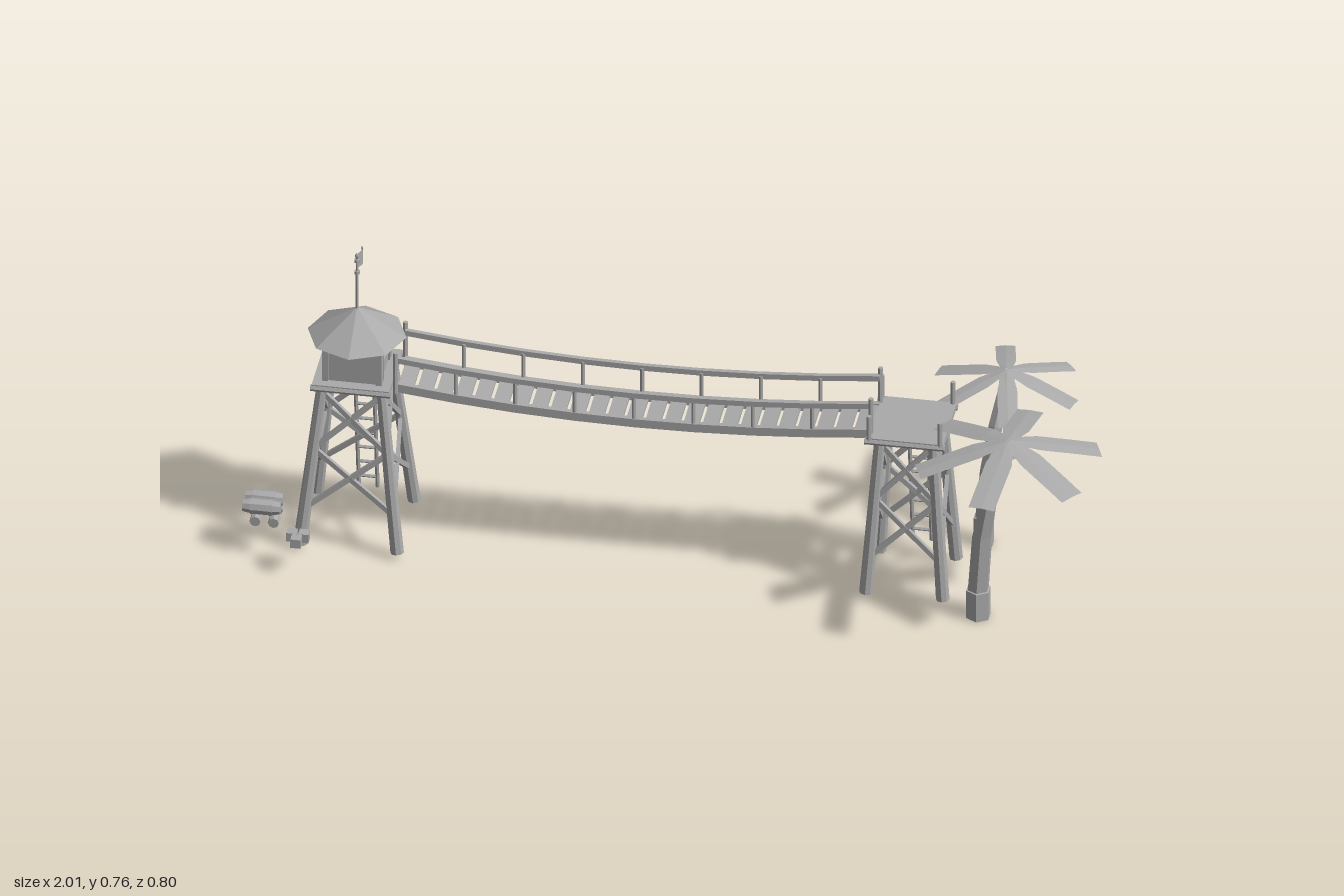
import * as THREE from 'three';

const stone = new THREE.MeshStandardMaterial({ color: 0xaaaaaa, flatShading: true, side: THREE.DoubleSide });
stone.name = 'plain grey';
const V = (x, y, z) => new THREE.Vector3(x, y, z);
const CZ = 0.035; // z of the bridge axis

function add(parent, name, geo, x = 0, y = 0, z = 0) {
  const m = new THREE.Mesh(geo, stone);
  m.name = name;
  m.position.set(x, y, z);
  parent.add(m);
  return m;
}
const box = (p, name, w, h, d, x, y, z) => add(p, name, new THREE.BoxGeometry(w, h, d), x, y, z);

// Straight pole between two points
function pole(p, name, a, b, r, sides = 6, r2 = r) {
  const m = add(p, name, new THREE.CylinderGeometry(r2, r, a.distanceTo(b), sides));
  m.position.copy(a).add(b).multiplyScalar(0.5);
  m.quaternion.setFromUnitVectors(V(0, 1, 0), b.clone().sub(a).normalize());
}

// Rectangular plank whose length runs from a to b
function plank(p, name, a, b, h, w) {
  const m = box(p, name, w, h, a.distanceTo(b), 0, 0, 0);
  m.position.copy(a).add(b).multiplyScalar(0.5);
  m.quaternion.setFromRotationMatrix(new THREE.Matrix4().lookAt(b, a, V(0, 1, 0)));
}

// Four splayed legs, two tiers of cross braces, platform and ladder
function tower(name, cx, low, high) {
  const g = new THREE.Group();
  g.name = name;
  g.position.set(cx, 0, CZ);
  const at = (sx, sz, y) => {
    const h = low + (high - low) * (y - 0.015) / 0.41;
    return V(sx * h, y, sz * h);
  };
  const corners = [[1, 1], [1, -1], [-1, -1], [-1, 1]];
  corners.forEach(([sx, sz], i) => {
    pole(g, 'leg', at(sx, sz, 0.015), at(sx, sz, 0.43), 0.016, 8, 0.013);
    const [nx, nz] = corners[(i + 1) % 4];
    for (const [y0, y1] of [[0.11, 0.265], [0.265, 0.415]]) {
      plank(g, 'crossBrace', at(sx, sz, y0), at(nx, nz, y1), 0.012, 0.009);
      plank(g, 'crossBrace', at(nx, nz, y0), at(sx, sz, y1), 0.012, 0.009);
    }
  });
  box(g, 'platform', 0.182, 0.014, 0.182, 0, 0.434, 0);
  for (const s of [-1, 1]) {
    pole(g, 'platformBeam', V(-0.094, 0.431, s * 0.088), V(0.094, 0.431, s * 0.088), 0.008, 6);
    pole(g, 'ladderRail', V(s * 0.022, 0.015, -0.152), V(s * 0.022, 0.43, -0.09), 0.005, 5);
  }
  for (let i = 0; i < 9; i++) {
    const y = 0.045 + i * 0.044, z = -0.152 + 0.062 * (y - 0.015) / 0.415;
    pole(g, 'ladderRung', V(-0.024, y, z), V(0.024, y, z), 0.004, 5);
  }
  return g;
}

// Cabin, roof, mast and flag for the lookout tower
function lookout(g) {
  box(g, 'cabin', 0.13, 0.1, 0.13, 0, 0.49, 0);
  for (const sx of [-1, 1]) for (const sz of [-1, 1])
    box(g, 'cabinCorner', 0.014, 0.1, 0.014, sx * 0.063, 0.49, sz * 0.063);
  for (const s of [-1, 1]) box(g, 'doorPost', 0.008, 0.09, 0.006, 0.066, 0.487, s * 0.044);
  box(g, 'doorBeam', 0.006, 0.005, 0.085, 0.066, 0.485, 0);
  add(g, 'roof', new THREE.CylinderGeometry(0.003, 0.116, 0.07, 8), 0, 0.571, 0);
  pole(g, 'mast', V(0, 0.6, 0), V(0, 0.745, 0), 0.004, 6, 0.003);
  add(g, 'finial', new THREE.SphereGeometry(0.005, 6, 4).scale(1, 1.7, 1), 0, 0.748, 0);
  for (const y of [0.704, 0.736]) add(g, 'flagRing', new THREE.CylinderGeometry(0.007, 0.007, 0.008, 6), 0, y, 0);
  const flag = new THREE.PlaneGeometry(0.057, 0.04, 6, 1).rotateY(Math.PI / 2);
  const p = flag.attributes.position;
  for (let i = 0; i < p.count; i++) p.setX(i, 0.006 * Math.sin((p.getZ(i) + 0.0285) * 110));
  add(g, 'flag', flag, 0, 0.719, -0.031);
}

// Sagging rope bridge with planks, stringers and handrails
function bridge() {
  const g = new THREE.Group();
  g.name = 'bridge';
  const x0 = -0.655, x1 = 0.46, mid = (x0 + x1) / 2, half = (x1 - x0) / 2;
  const t2 = x => ((x - mid) / half) ** 2;
  const deck = x => 0.4 + 0.034 * t2(x), rail = x => 0.478 + 0.034 * t2(x);
  for (const s of [-1, 1]) {
    const z = CZ + s * 0.055, n = 8;
    for (let i = 0; i < n; i++) {
      const a = x0 + (x1 - x0) * i / n, b = x0 + (x1 - x0) * (i + 1) / n;
      plank(g, 'stringer', V(a, deck(a), z), V(b, deck(b), z), 0.022, 0.012);
      plank(g, 'handrail', V(a, rail(a), z + s * 0.004), V(b, rail(b), z + s * 0.004), 0.014, 0.011);
      if (i) pole(g, 'railPost', V(a, deck(a), z), V(a, rail(a), z), 0.005, 6);
    }
    for (const x of [x0, x1]) pole(g, 'endPost', V(x, 0.425, CZ + s * 0.066), V(x, 0.535, CZ + s * 0.066), 0.006, 6);
  }
  const count = 25;
  for (let i = 0; i < count; i++) {
    const x = x0 + (x1 - x0) * (i + 0.5) / count, e = 0.018;
    plank(g, 'deckPlank', V(x - e, deck(x - e) + 0.005, CZ), V(x + e, deck(x + e) + 0.005, CZ), 0.008, 0.112);
  }
  return g;
}

// Bent faceted trunk through ring centres [x, y, z, radius]
function trunk(g, rings, sides = 6) {
  const pos = [], idx = [];
  rings.forEach(([x, y, z, r], k) => {
    for (let i = 0; i < sides; i++) {
      const a = (i + 0.5) / sides * Math.PI * 2;
      pos.push(x + r * Math.cos(a), y, z + r * Math.sin(a));
      const j = (i + 1) % sides, o = k * sides;
      if (k) idx.push(o - sides + i, o + i, o - sides + j, o - sides + j, o + i, o + j);
    }
  });
  for (let i = 1; i < sides - 1; i++) {
    const o = (rings.length - 1) * sides;
    idx.push(0, i, i + 1, o, o + i + 1, o + i);
  }
  const geo = new THREE.BufferGeometry();
  geo.setAttribute('position', new THREE.Float32BufferAttribute(pos, 3));
  geo.setIndex(idx);
  geo.computeVertexNormals();
  add(g, 'trunk', geo);
}

// Palm: trunk, flared hub and nearly flat drooping fronds
function palm(name, rings, crown, angles, length, width, drop) {
  const g = new THREE.Group();
  g.name = name;
  trunk(g, rings);
  for (const deg of angles) {
    const geo = new THREE.PlaneGeometry(1, 1, 3, 2).rotateX(-Math.PI / 2);
    const p = geo.attributes.position;
    for (let i = 0; i < p.count; i++) {
      const t = p.getX(i) + 0.5, s = p.getZ(i) * 2;
      const w = width / 2 * (0.5 + 0.5 * Math.min(1, t * 3));
      p.setXYZ(i, 0.005 + t * length, -drop * Math.pow(t, 1.1) - Math.abs(s) * 0.002, s * w);
    }
    geo.computeVertexNormals();
    const m = add(g, 'frond', geo, ...crown);
    m.rotation.y = -deg * Math.PI / 180;
  }
  add(g, 'crownHub', new THREE.CylinderGeometry(width * 0.15, width * 0.42, width * 0.6, 6), crown[0], crown[1] - width * 0.33, crown[2]);
  return g;
}

// Barrel lying along x
function barrel(g, x, y, z, len, r) {
  const pts = [[0, -0.5], [0.78, -0.5], [1, -0.2], [1, 0.2], [0.78, 0.5], [0, 0.5]]
    .map(([a, b]) => new THREE.Vector2(a * r, b * len));
  add(g, 'barrel', new THREE.LatheGeometry(pts, 8).rotateZ(-Math.PI / 2), x, y, z);
  for (const s of [-1, 1])
    add(g, 'barrelHoop', new THREE.CylinderGeometry(r * 1.05, r * 1.05, 0.007, 8).rotateZ(Math.PI / 2), x + s * len * 0.25, y, z);
}

export function createModel() {
  const model = new THREE.Group();
  model.name = 'bridgeOutpost';

  const left = tower('lookoutTower', -0.757, 0.114, 0.07);
  lookout(left);
  const right = tower('landingTower', 0.543, 0.09, 0.062);
  for (const sx of [-1, 1]) for (const sz of [-1, 1])
    pole(right, 'cornerPost', V(sx * 0.083, 0.425, sz * 0.088), V(sx * 0.083, 0.5, sz * 0.088), 0.006, 6);
  model.add(left, right, bridge());

  model.add(
    palm('tallPalm', [[0.722, 0, 0.156, 0.03], [0.722, 0.075, 0.156, 0.03], [0.722, 0.076, 0.156, 0.026],
      [0.732, 0.228, 0.161, 0.025], [0.755, 0.37, 0.17, 0.019], [0.79, 0.495, 0.18, 0.014]],
    [0.797, 0.51, 0.183], [-86, -22, 37, 97, 157, -145], 0.21, 0.062, 0.053),
    palm('shortPalm', [[0.682, 0, -0.146, 0.025], [0.682, 0.075, -0.146, 0.025], [0.682, 0.076, -0.147, 0.021],
      [0.69, 0.2, -0.158, 0.02], [0.704, 0.31, -0.182, 0.018], [0.722, 0.425, -0.222, 0.011]],
    [0.722, 0.433, -0.225], [-101, -40, 16, 79, 142, 194], 0.168, 0.046, 0.046));

  // Two barrels on small rollers, and crates beside the lookout tower
  const cargo = new THREE.Group();
  cargo.name = 'cargo';
  for (const z of [0.139, 0.176]) {
    barrel(cargo, -0.956, 0.124, z, 0.088, 0.019);
    for (const x of [-0.968, -0.925])
      add(cargo, 'roller', new THREE.CylinderGeometry(0.013, 0.013, 0.028, 8).rotateX(Math.PI / 2), x, 0.096, z + (z - 0.1575) * 0.5);
  }
  for (const [x, z] of [[-0.875, 0.232], [-0.847, 0.232], [-0.861, 0.257]])
    box(cargo, 'crate', 0.024, 0.023, 0.024, x, 0.091, z);
  model.add(cargo);
  return model;
}
